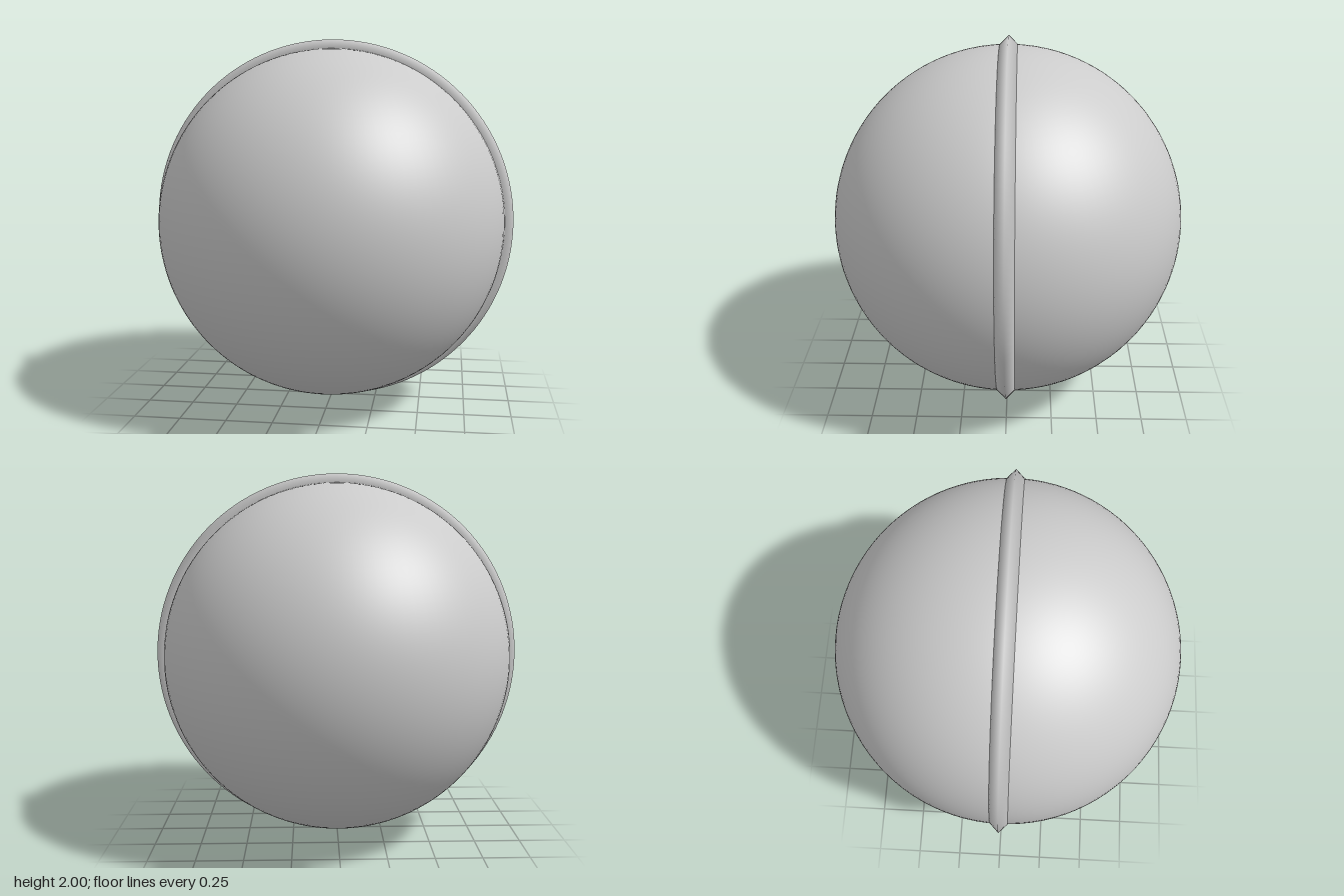
import * as THREE from 'three';

export function createModel() {
  const model = new THREE.Group();
  const material = new THREE.MeshStandardMaterial({ color: 0xcccccc });
  const radius = 0.952;

  function addPart(name, geometry) {
    const mesh = new THREE.Mesh(geometry, material);
    mesh.name = name;
    mesh.position.y = 1;
    model.add(mesh);
  }

  // Smooth ball
  addPart('ball', new THREE.SphereGeometry(radius, 96, 64));

  // Upright ring with a diamond cross-section, half sunk into the ball
  addPart('ring', new THREE.TorusGeometry(radius, 1 - radius, 4, 128));

  return model;
}
